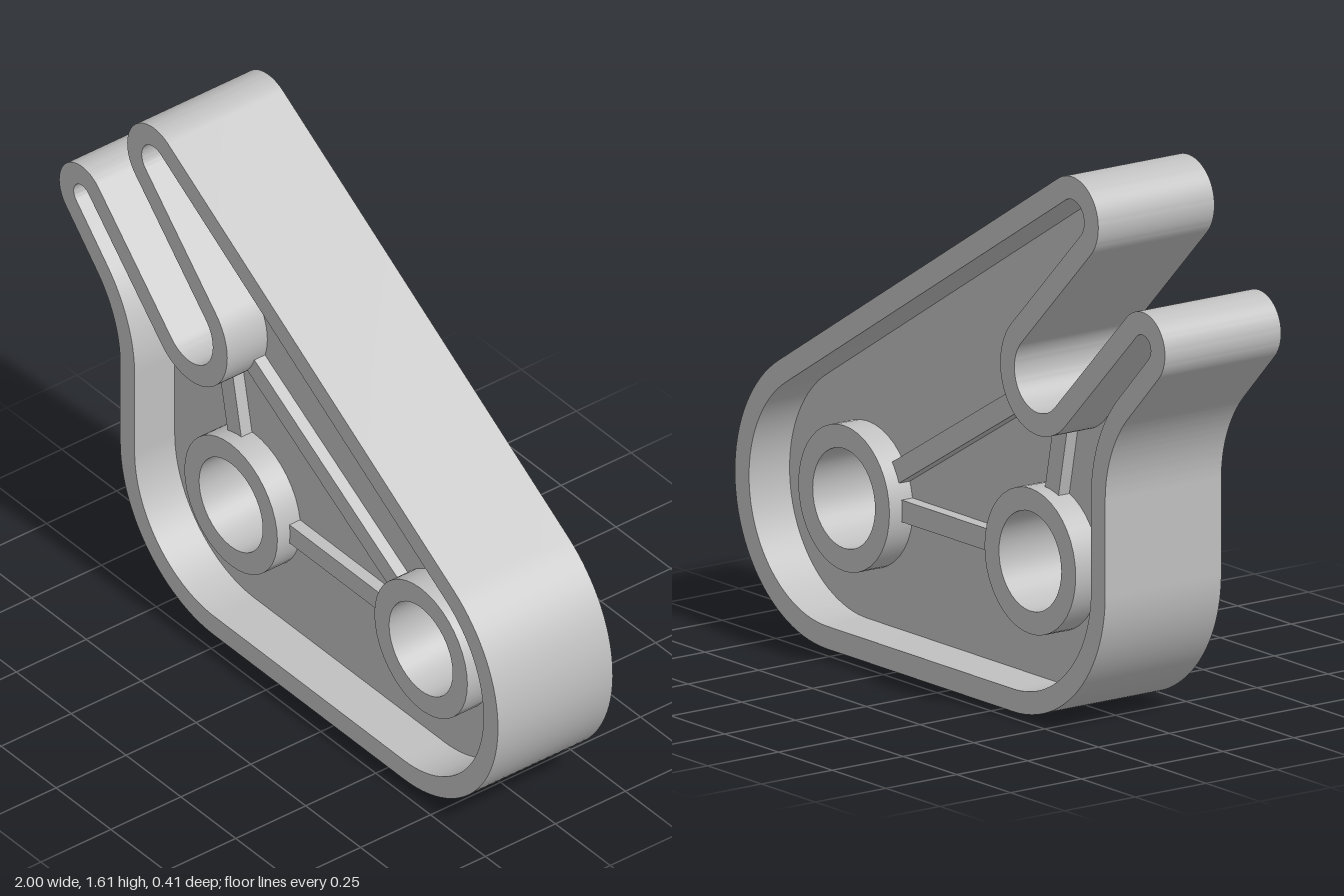
import * as THREE from 'three';
import { toCreasedNormals } from 'three/addons/utils/BufferGeometryUtils.js';

const R = 0.428;                                   // lower corner radius
const rightPivot = new THREE.Vector2(0.572, R);
const leftPivot = new THREE.Vector2(-0.294, R);
const slotEnd = new THREE.Vector2(-0.41, 1.003);
const upperTip = new THREE.Vector2(-0.567, 1.49);
const lowerTip = new THREE.Vector2(-0.895, 1.183);
const UPPER_R = 0.123, LOWER_R = 0.105, SLOT_R = 0.11, FILLET_R = 0.38;
const WALL = 0.066, HOLE_R = 0.145, BOSS_R = 0.212;

// Bracket outline, moved inward by the given inset
function outline(inset, Type = THREE.Shape) {
  const p = new Type();
  const q = Math.PI / 4;
  const d = rightPivot.clone().sub(upperTip);
  const slope = d.angle() - 2 * Math.PI + Math.acos((UPPER_R - R) / d.length());
  p.absarc(rightPivot.x, rightPivot.y, R - inset, -2 * q, slope, false);
  p.absarc(upperTip.x, upperTip.y, UPPER_R - inset, slope, 5 * q, false);
  p.absarc(slotEnd.x, slotEnd.y, SLOT_R + inset, q, -3 * q, true);
  p.absarc(lowerTip.x, lowerTip.y, LOWER_R - inset, q, 5 * q, false);
  p.absarc(leftPivot.x - R - FILLET_R, 0.7, FILLET_R + inset, q, 0, true);
  p.absarc(leftPivot.x, leftPivot.y, R - inset, 4 * q, 6 * q, false);
  p.closePath();
  return p;
}

function circle(center, radius, Type) {
  const p = new Type();
  p.absarc(center.x, center.y, radius, 0, Math.PI * 2, false);
  return p;
}

// Extrude a shape symmetrically about z = 0
function slab(shape, halfDepth) {
  const g = new THREE.ExtrudeGeometry(shape, { depth: 2 * halfDepth, bevelEnabled: false, curveSegments: 20 });
  g.translate(0, 0, -halfDepth);
  return toCreasedNormals(g, 0.5);
}

export function createModel() {
  const group = new THREE.Group();
  const metal = new THREE.MeshStandardMaterial({ color: 0xc0c0c0 });
  metal.name = 'plain grey';
  const add = (name, geometry) => {
    const mesh = new THREE.Mesh(geometry, metal);
    mesh.name = name;
    group.add(mesh);
    return mesh;
  };

  // Full-depth wall following the outline and the slot
  const rim = outline(0);
  rim.holes.push(outline(WALL, THREE.Path));
  add('rim', slab(rim, 0.205));

  // Thin central web, pierced by the two pivots
  const web = outline(WALL - 0.01);
  for (const c of [leftPivot, rightPivot]) web.holes.push(circle(c, HOLE_R + 0.02, THREE.Path));
  add('web', slab(web, 0.062));

  // Ring bosses around the pivot holes
  for (const [name, c] of [['rightBoss', leftPivot], ['leftBoss', rightPivot]]) {
    const ring = circle(c, BOSS_R, THREE.Shape);
    ring.holes.push(circle(c, HOLE_R, THREE.Path));
    add(name, slab(ring, 0.145));
  }

  // Ribs joining the bosses and the slot wall
  const rib = (name, a, b, startGap, endGap) => {
    const dir = b.clone().sub(a);
    const length = dir.length() - startGap - endGap;
    const mesh = add(name, new THREE.BoxGeometry(length, 0.064, 0.2));
    const mid = a.clone().addScaledVector(dir.clone().normalize(), startGap + length / 2);
    mesh.position.set(mid.x, mid.y, 0);
    mesh.rotation.z = dir.angle();
  };
  rib('lowerRib', leftPivot, rightPivot, 0.19, 0.19);
  rib('diagonalRib', slotEnd, rightPivot, 0.15, 0.19);
  rib('uprightRib', slotEnd, leftPivot, 0.15, 0.19);

  return group;
}
